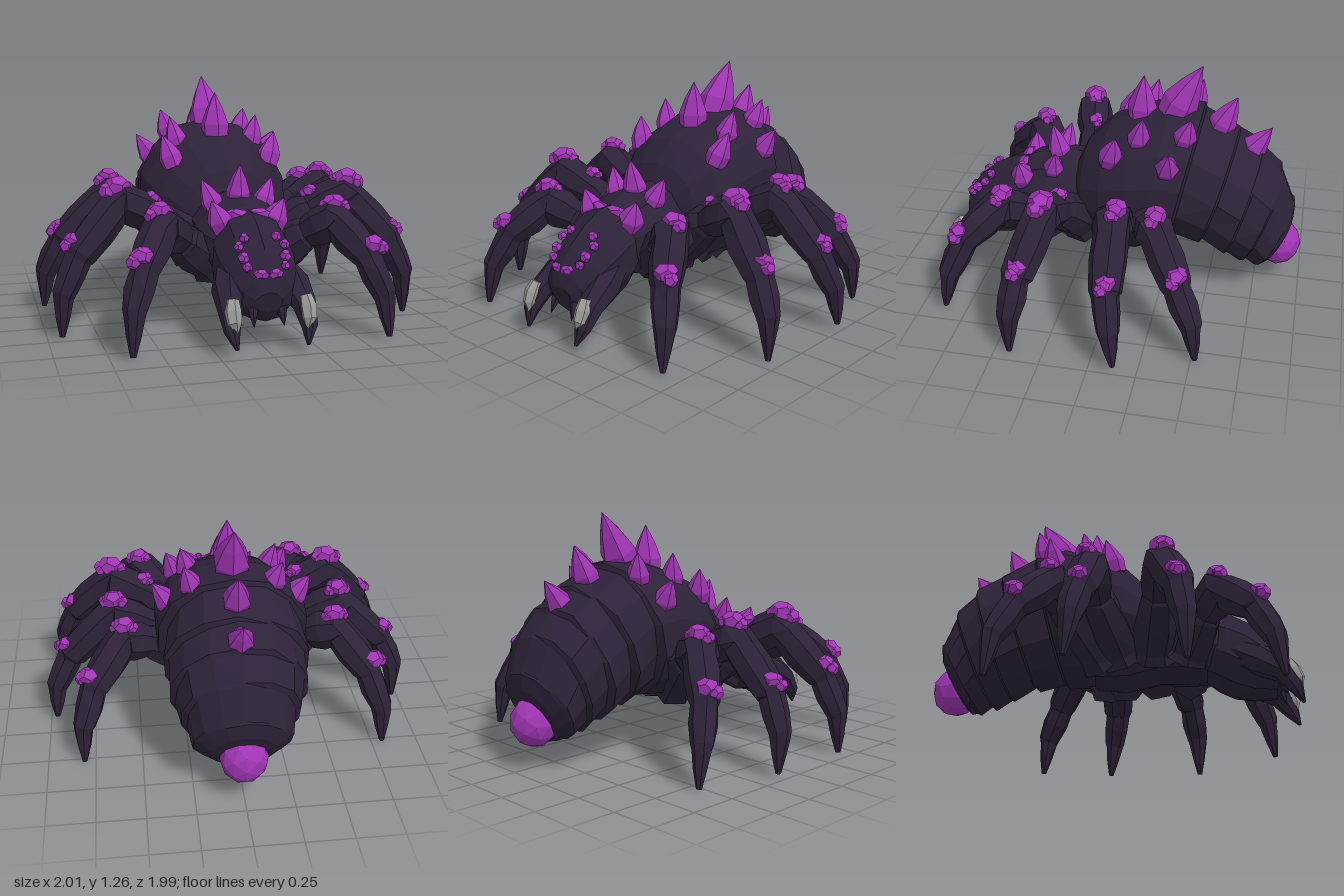
import * as THREE from 'three';

const V = (x, y, z) => new THREE.Vector3(x, y, z);
const mat = (name, color) => {
  const m = new THREE.MeshStandardMaterial({ color, flatShading: true });
  m.name = name;
  return m;
};

export function createModel() {
  const root = new THREE.Group();
  root.name = 'crystalSpider';
  const shell = mat('dark shell', 0x2d2238);
  const crystal = mat('purple crystal', 0xa035b4);
  const bone = mat('grey fang', 0x9a9a98);

  let seed = 7;
  const rnd = () => ((seed = (seed * 16807) % 2147483647) / 2147483647) * 2 - 1;

  function add(name, geo, material, parent = root) {
    const g = geo.index ? geo.toNonIndexed() : geo;
    g.computeVertexNormals();
    const mesh = new THREE.Mesh(g, material);
    mesh.name = name;
    parent.add(mesh);
    return mesh;
  }

  // Closed skin over rings {c, u, v}, where u x v points along the path
  function loft(rings, n, rough) {
    const pos = [], idx = [];
    for (const { c, u, v } of rings) {
      for (let j = 0; j < n; j++) {
        const a = (j / n) * Math.PI * 2 + Math.PI / 2;
        const k = 1 + rnd() * rough;
        const p = c.clone().addScaledVector(u, Math.cos(a) * k).addScaledVector(v, Math.sin(a) * k);
        pos.push(p.x, p.y, p.z);
      }
    }
    const last = rings.length - 1, c0 = pos.length / 3, c1 = c0 + 1;
    pos.push(...rings[0].c.toArray(), ...rings[last].c.toArray());
    for (let j = 0; j < n; j++) {
      const k = (j + 1) % n;
      for (let i = 0; i < last; i++) {
        const a = i * n + j, b = i * n + k;
        idx.push(a, b, a + n, b, b + n, a + n);
      }
      idx.push(c0, k, j, c1, last * n + j, last * n + k);
    }
    const g = new THREE.BufferGeometry();
    g.setAttribute('position', new THREE.Float32BufferAttribute(pos, 3));
    g.setIndex(idx);
    return g;
  }

  // Body rings run front to back: [topZ, topY, bottomZ, bottomY, halfWidth]
  const bodyRings = (rows) => rows.map(([tz, ty, bz, by, w]) => ({
    c: V(0, (ty + by) / 2, (tz + bz) / 2),
    u: V(-w, 0, 0),
    v: V(0, (ty - by) / 2, (tz - bz) / 2),
  }));

  // Limb with a fixed sideways axis; radius per point
  function limb(pts, radii, n, rough) {
    const run = pts[pts.length - 1].clone().sub(pts[0]).setY(0).normalize();
    const side = V(0, 1, 0).cross(run);
    return loft(pts.map((c, i) => {
      const d = pts[Math.min(i + 1, pts.length - 1)].clone().sub(pts[Math.max(i - 1, 0)]).normalize();
      const u = side.clone().addScaledVector(d, -side.dot(d)).normalize();
      return { c, u: u.clone().multiplyScalar(radii[i]), v: d.cross(u).multiplyScalar(radii[i]) };
    }), n, rough);
  }

  // Pointed crystal from base to tip
  function spike(name, base, tip, r, material = crystal) {
    const dir = tip.clone().sub(base), h = dir.length();
    const profile = [[0, -0.03], [r * 0.9, -0.03], [r, h * 0.22], [r * 0.6, h * 0.6], [0, h]];
    const m = add(name, new THREE.LatheGeometry(profile.map((p) => new THREE.Vector2(...p)), 6), material);
    m.position.copy(base);
    m.quaternion.setFromUnitVectors(V(0, 1, 0), dir.normalize());
  }

  // Low crystal lump
  function lump(name, p, sx, sy, sz, parent = root) {
    const m = add(name, new THREE.DodecahedronGeometry(1), crystal, parent);
    m.position.copy(p);
    m.scale.set(sx, sy, sz);
    m.rotation.set(rnd() * 0.2, rnd() * 0.4, rnd() * 0.2);
    return m;
  }

  // Abdomen with overlapping rear plates
  const plates = [
    [-0.42, 1.01, -0.26, 0.27, 0.395], [-0.61, 0.90, -0.42, 0.25, 0.385],
    [-0.75, 0.81, -0.56, 0.20, 0.365], [-0.86, 0.69, -0.66, 0.155, 0.31],
    [-0.935, 0.51, -0.74, 0.13, 0.255],
  ];
  const abdomen = bodyRings([
    [0.27, 0.64, 0.25, 0.42, 0.15], [0.20, 0.79, 0.20, 0.33, 0.27], [0.08, 0.90, 0.08, 0.28, 0.36],
    [-0.08, 0.985, -0.04, 0.27, 0.40], [-0.25, 1.035, -0.15, 0.27, 0.41],
  ]);
  for (const ring of bodyRings(plates)) {
    const shrink = { c: ring.c.clone(), u: ring.u.clone().multiplyScalar(0.9), v: ring.v.clone().multiplyScalar(0.94) };
    shrink.c.z -= 0.015;
    abdomen.push(ring, shrink);
  }
  abdomen.push(...bodyRings([[-0.945, 0.42, -0.78, 0.125, 0.17], [-0.92, 0.36, -0.81, 0.15, 0.11]]));
  add('abdomen', loft(abdomen, 14, 0.03), shell);
  const tail = add('tailCrystal', new THREE.IcosahedronGeometry(1, 1), crystal);
  tail.position.set(0, 0.245, -0.87);
  tail.scale.set(0.125, 0.132, 0.125);

  // Thorax and head
  add('thorax', loft(bodyRings([
    [0.60, 0.60, 0.58, 0.28, 0.17], [0.53, 0.655, 0.50, 0.24, 0.23], [0.40, 0.69, 0.40, 0.24, 0.245],
    [0.28, 0.70, 0.25, 0.25, 0.23], [0.15, 0.68, 0.08, 0.21, 0.22], [0, 0.50, -0.10, 0.24, 0.18],
  ]), 10, 0.03), shell);
  add('head', loft(bodyRings([
    [0.93, 0.30, 0.90, 0.20, 0.07], [0.91, 0.39, 0.86, 0.14, 0.13], [0.84, 0.49, 0.74, 0.13, 0.18],
    [0.74, 0.57, 0.64, 0.15, 0.20], [0.64, 0.625, 0.56, 0.19, 0.205], [0.56, 0.64, 0.50, 0.24, 0.18],
  ]), 10, 0.03), shell);

  // Crystals along the back
  const back = [
    [0, 0.96, -0.09, 0, 1.19, -0.10, 0.08], [0, 1.00, -0.27, 0, 1.27, -0.41, 0.10],
    [0, 0.92, -0.51, 0, 1.11, -0.60, 0.075], [0, 0.80, -0.68, 0, 0.95, -0.79, 0.07],
  ];
  for (const [a, b, c, d, e, f, r] of back) spike('backSpike', V(a, b, c), V(d, e, f), r);
  const flank = [
    [0.21, 0.90, -0.11, 0.25, 1.06, -0.14, 0.062], [0.21, 0.94, -0.35, 0.25, 1.08, -0.39, 0.062],
    [0.32, 0.81, -0.28, 0.41, 0.95, -0.30, 0.065], [0.27, 0.82, 0.03, 0.32, 0.97, -0.01, 0.065],
  ];

  // Legs: joint path, then crystal patches [x, y, z, size]
  const legs = [
    { name: 'frontLeg', path: [[0.15, 0.34, 0.40], [0.32, 0.48, 0.49], [0.45, 0.57, 0.59], [0.56, 0.42, 0.75], [0.63, 0.23, 0.835], [0.645, 0.02, 0.87]],
      gems: [[0.455, 0.655, 0.575, 1], [0.58, 0.475, 0.775, 1]] },
    { name: 'secondLeg', path: [[0.15, 0.34, 0.22], [0.40, 0.56, 0.27], [0.61, 0.66, 0.31], [0.83, 0.42, 0.39], [0.915, 0.23, 0.42], [0.925, 0.01, 0.425]],
      gems: [[0.44, 0.67, 0.27, 0.8], [0.62, 0.74, 0.31, 1.2], [0.845, 0.485, 0.38, 1]] },
    { name: 'thirdLeg', path: [[0.15, 0.34, 0.06], [0.42, 0.55, -0.04], [0.62, 0.65, -0.06], [0.86, 0.41, -0.07], [0.95, 0.23, -0.10], [0.965, 0.03, -0.125]],
      gems: [[0.61, 0.74, -0.075, 1], [0.875, 0.475, -0.075, 0.95]] },
    { name: 'rearLeg', path: [[0.15, 0.33, -0.04], [0.42, 0.54, -0.21], [0.57, 0.60, -0.27], [0.73, 0.41, -0.40], [0.80, 0.22, -0.49], [0.81, 0.01, -0.52]],
      gems: [[0.56, 0.69, -0.265, 1], [0.75, 0.475, -0.405, 1]] },
  ];
  const thick = [0.12, 0.09, 0.1, 0.078, 0.056, 0.014];

  for (const s of [1, -1]) {
    const tag = s > 0 ? 'left' : 'right';
    const M = (x, y, z) => V(s * x, y, z);
    for (const [a, b, c, d, e, f, r] of flank) spike(tag + 'FlankSpike', M(a, b, c), M(d, e, f), r);

    for (const { name, path, gems } of legs) {
      const leg = new THREE.Group();
      leg.name = tag + name[0].toUpperCase() + name.slice(1);
      root.add(leg);
      // Each joint gets a raised collar followed by a narrower swelling segment
      const pts = [], radii = [];
      path.forEach((p, i) => {
        const a = M(...p);
        pts.push(a);
        radii.push(thick[i] * (i === 5 ? 1 : 1.08));
        if (i === 5) return;
        const b = M(...path[i + 1]);
        pts.push(a.clone().lerp(b, 0.14), a.clone().lerp(b, 0.55));
        radii.push(thick[i] * 0.92, (thick[i] * 0.45 + thick[i + 1] * 0.55) * 1.12);
      });
      add('legShell', limb(pts, radii, 7, 0.06), shell, leg);
      for (const [x, y, z, k] of gems) {
        lump('legCrystal', M(x, y, z), 0.062 * k, 0.048 * k, 0.058 * k, leg);
        lump('legCrystalChip', M(x + 0.045 * k, y - 0.02, z + 0.015), 0.038 * k, 0.038 * k, 0.04 * k, leg);
        lump('legCrystalChip', M(x - 0.04 * k, y - 0.012, z - 0.015), 0.036 * k, 0.034 * k, 0.036 * k, leg);
      }
    }

    // Jaw with grey fang plate, and small teeth
    add(tag + 'Jaw', limb([M(0.13, 0.36, 0.66), M(0.165, 0.29, 0.78), M(0.185, 0.22, 0.89), M(0.19, 0.13, 0.95), M(0.175, 0.05, 0.985)],
      [0.07, 0.085, 0.062, 0.042, 0.008], 7, 0.05), shell);
    add(tag + 'Fang', limb([M(0.18, 0.275, 0.915), M(0.187, 0.225, 0.94), M(0.185, 0.175, 0.962), M(0.175, 0.125, 0.972)],
      [0.03, 0.042, 0.037, 0.008], 6, 0), bone);
    spike(tag + 'Tooth', M(0.07, 0.22, 0.88), M(0.075, 0.13, 0.92), 0.025, shell);

    // Head crystals
    spike(tag + 'Horn', M(0.13, 0.63, 0.38), M(0.19, 0.77, 0.35), 0.058);
    spike(tag + 'BrowCrystal', M(0.135, 0.565, 0.55), M(0.19, 0.69, 0.56), 0.068);
    lump(tag + 'BrowRidge', M(0.05, 0.61, 0.572), 0.075, 0.035, 0.034);
    const eyes = [[0.08, 0.535, 0.762, 0.026], [0.115, 0.50, 0.79, 0.026], [0.105, 0.455, 0.838, 0.03], [0.095, 0.415, 0.87, 0.024]];
    for (const [x, y, z, r] of eyes) lump(tag + 'Eye', M(x, y, z), r, r, r);
    lump(tag + 'MouthCrystal', M(0.035, 0.385, 0.90), 0.04, 0.026, 0.026);
  }
  spike('crownSpike', V(0, 0.66, 0.37), V(0, 0.85, 0.41), 0.065);
  return root;
}
